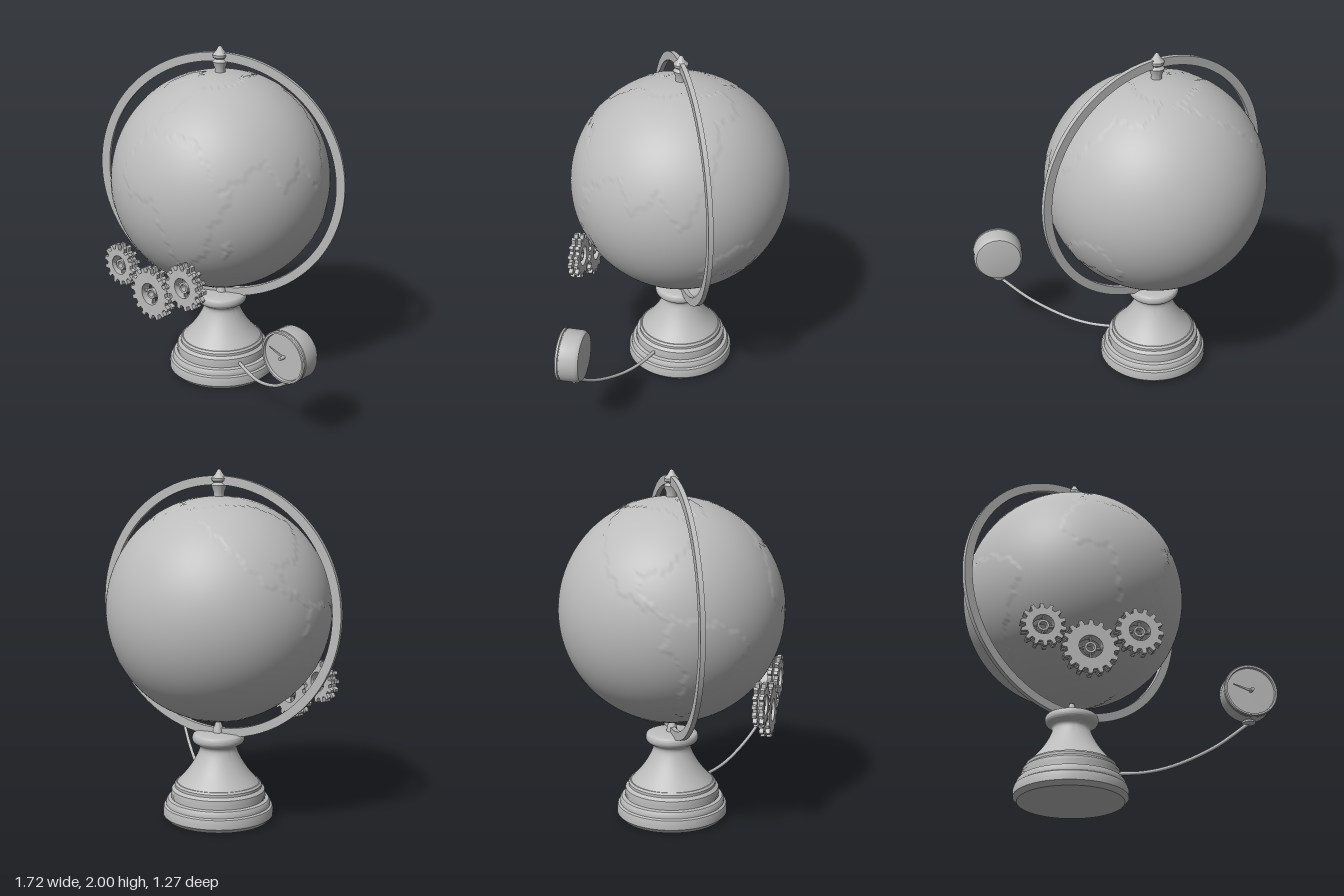
import * as THREE from 'three';
import { mergeVertices, toCreasedNormals } from 'three/addons/utils/BufferGeometryUtils.js';

const AXIS_X = -0.19, GLOBE_Y = 1.218, GLOBE_R = 0.633;

// Coarse land outlines as longitude, latitude pairs
const LANDS = [
  [-17, 15, -6, 36, 10, 37, 33, 31, 43, 12, 51, 12, 40, -4, 35, -24, 19, -35, 9, 4, -8, 4], // Africa
  [-9, 37, 8, 57, 15, 69, 70, 72, 104, 77, 180, 68, 157, 54, 135, 55, 122, 31, 109, 12, 103, 2,
    91, 22, 78, 8, 67, 25, 52, 17, 43, 13, 34, 30, 27, 38], // Europe and Asia
  [-168, 65, -128, 70, -82, 69, -56, 52, -81, 30, -97, 28, -90, 16, -78, 8, -105, 20, -124, 42, -150, 61], // North America
  [-77, 8, -51, 4, -35, -7, -48, -26, -67, -55, -74, -50, -70, -18, -81, -5], // South America
  [114, -23, 131, -12, 142, -12, 153, -27, 148, -38, 131, -31, 115, -34], // Australia
  [-65, 81, -20, 80, -44, 60, -55, 70], // Greenland
  [44, -17, 50, -14, 47, -25], // Madagascar
];

// Even-odd test with a small wobble that roughens the coasts
function isLand(lon, lat) {
  const x = lon + 1.2 * Math.sin(lat * 0.7) + 0.6 * Math.sin(lat * 1.7);
  const y = lat + 1.2 * Math.sin(lon * 0.6) + 0.6 * Math.sin(lon * 1.5);
  if (y < -71 + 4 * Math.sin(lon * Math.PI / 90)) return true;
  return LANDS.some((p) => {
    let inside = false;
    for (let i = 0, j = p.length - 2; i < p.length; j = i, i += 2) {
      if ((p[i + 1] > y) !== (p[j + 1] > y) &&
        x < (p[j] - p[i]) * (y - p[i + 1]) / (p[j + 1] - p[i + 1]) + p[i]) inside = !inside;
    }
    return inside;
  });
}

// Sphere whose land is raised slightly above the sea
function globeGeometry() {
  let g = new THREE.SphereGeometry(GLOBE_R, 320, 160);
  g.deleteAttribute('uv');
  g.deleteAttribute('normal');
  g = mergeVertices(g);
  const pos = g.attributes.position, v = new THREE.Vector3();
  for (let i = 0; i < pos.count; i++) {
    v.fromBufferAttribute(pos, i).normalize();
    const lat = THREE.MathUtils.radToDeg(Math.asin(THREE.MathUtils.clamp(v.y, -1, 1)));
    const lon = THREE.MathUtils.radToDeg(Math.atan2(v.x, v.z));
    v.multiplyScalar(GLOBE_R + (isLand(lon, lat) ? 0.003 : 0));
    pos.setXYZ(i, v.x, v.y, v.z);
  }
  g.computeVertexNormals();
  return g;
}

const lathe = (pts, segments = 64) =>
  toCreasedNormals(new THREE.LatheGeometry(pts.map(([x, y]) => new THREE.Vector2(x, y)), segments), 0.6);

// Toothed plate with a round hole
function gearPlate(radius, hole, teeth, depth) {
  const shape = new THREE.Shape(), step = (Math.PI * 2) / teeth, root = radius - 0.026;
  for (let i = 0; i < teeth; i++) {
    [[-0.3, root], [-0.17, radius], [0.17, radius], [0.3, root]].forEach(([f, r], k) => {
      const a = Math.PI / 2 + (i + f) * step;
      shape[i + k ? 'lineTo' : 'moveTo'](r * Math.cos(a), r * Math.sin(a));
    });
  }
  shape.closePath();
  shape.holes.push(new THREE.Path().absarc(0, 0, hole, 0, Math.PI * 2, true));
  return new THREE.ExtrudeGeometry(shape, { depth, bevelEnabled: false, curveSegments: 24 });
}

// Flat ring in the xy plane, centred on z = 0
function flatRing(outer, inner, depth, segments) {
  const s = new THREE.Shape().absarc(0, 0, outer, 0, Math.PI * 2, false);
  s.holes.push(new THREE.Path().absarc(0, 0, inner, 0, Math.PI * 2, true));
  const g = new THREE.ExtrudeGeometry(s, { depth, bevelEnabled: false, curveSegments: segments });
  return toCreasedNormals(g.translate(0, 0, -depth / 2), 0.6);
}

// Thin band whose lower edge steps in and out
function scallopGeometry() {
  const g = new THREE.CylinderGeometry(0.273, 0.273, 0.024, 120, 1, true), pos = g.attributes.position;
  for (let i = 0; i < pos.count; i++) {
    if (pos.getY(i) < 0) pos.setY(i, i % 4 < 2 ? -0.012 : 0);
  }
  return g;
}

export function createModel() {
  const model = new THREE.Group();
  const grey = new THREE.MeshStandardMaterial({ color: 0xbcbcbc });
  grey.name = 'plain grey';
  const add = (name, geometry, x = 0, y = 0, z = 0, parent = model) => {
    const m = new THREE.Mesh(geometry, grey);
    m.name = name;
    m.position.set(x, y, z);
    parent.add(m);
    return m;
  };
  const addGroup = (name, x, y) => {
    const g = new THREE.Group();
    g.name = name;
    g.position.set(x, y, 0);
    model.add(g);
    return g;
  };

  // Globe and the ring that carries it
  add('globe', globeGeometry(), AXIS_X, GLOBE_Y, 0);
  add('meridianRing', flatRing(0.74, 0.69, 0.027, 96), AXIS_X, 1.223, 0).rotation.y = 0.445;
  add('topFinial', lathe([[0, 1.845], [0.03, 1.845], [0.03, 1.87], [0.044, 1.91], [0.028, 1.925], [0.04, 1.935],
    [0.042, 1.95], [0.022, 1.972], [0.01, 1.994], [0, 2]], 32), AXIS_X);

  // Turned pedestal: moulded foot, flared neck, top knob
  add('pedestalFoot', lathe([[0, 0], [0.295, 0], [0.317, 0.025], [0.317, 0.06], [0.312, 0.078], [0.3, 0.085],
    [0.3, 0.105], [0.29, 0.12], [0.27, 0.125], [0.27, 0.156], [0.268, 0.175], [0.25, 0.19], [0.25, 0.205],
    [0.24, 0.216], [0, 0.216]], 80), AXIS_X);
  const neck = new THREE.SplineCurve([[0.234, 0.216], [0.175, 0.285], [0.128, 0.36], [0.108, 0.42], [0.142, 0.45], [0.15, 0.472],
    [0.143, 0.495], [0.12, 0.504]].map((p) => new THREE.Vector2(...p))).getPoints(32);
  add('pedestalNeck', lathe([...neck.map((p) => [p.x, p.y]), [0, 0.506]], 80), AXIS_X);
  add('pedestalKnob', lathe([[0.033, 0.5], [0.028, 0.53], [0.012, 0.575], [0, 0.578]], 24), AXIS_X);
  add('scallopedBand', scallopGeometry(), AXIS_X, 0.142, 0);

  // Three double gears, each with a spoked hub
  [[-0.445, 0.775, 0.122, 0.056, 14, 0.1], [-0.192, 0.67, 0.154, 0.064, 16, 0], [0.072, 0.785, 0.132, 0.058, 14, 0.2]]
    .forEach(([x, y, r, hole, teeth, turn]) => {
      const gear = addGroup('gear', x, y);
      for (const z of [0.522, 0.558]) {
        add('gearPlate', gearPlate(r, hole, teeth, 0.024), 0, 0, z, gear).rotation.z = turn;
      }
      add('gearSleeve', flatRing(hole + 0.012, hole, 0.014, 24), 0, 0, 0.552, gear);
      add('gearHub', flatRing(0.032, 0.02, 0.04, 16), 0, 0, 0.552, gear);
      for (let k = 0; k < 4; k++) {
        const a = (k * Math.PI) / 2, m = (hole + 0.022) / 2;
        const spoke = new THREE.BoxGeometry(hole - 0.018, 0.008, 0.02);
        add('gearSpoke', spoke, m * Math.cos(a), m * Math.sin(a), 0.552, gear).rotation.z = a;
      }
    });

  // Curved arm from the pedestal to the gauge
  const path = new THREE.CatmullRomCurve3([[0.03, 0.147, 0.095], [0.18, 0.142, 0.158], [0.325, 0.165, 0.225],
    [0.535, 0.253, 0.32], [0.71, 0.375, 0.4]].map((p) => new THREE.Vector3(...p)));
  add('gaugeArm', new THREE.TubeGeometry(path, 48, 0.01, 12));
  add('gaugeCollar', lathe([[0, 0.366], [0.02, 0.366], [0.037, 0.374], [0.037, 0.384], [0.022, 0.392], [0.022, 0.402],
    [0, 0.402]], 24), 0.71, 0, 0.4);

  // Round gauge with a recessed dial, pin and needle
  const gauge = addGroup('gauge', 0.711, 0.541);
  add('gaugeCase', lathe([[0, 0.336], [0.115, 0.336], [0.135, 0.34], [0.148, 0.36], [0.148, 0.448], [0.144, 0.45],
    [0.144, 0.453], [0.149, 0.455], [0.149, 0.466], [0.144, 0.471], [0.134, 0.471], [0.132, 0.456], [0, 0.456]]), 0, 0, 0, gauge)
    .rotation.x = Math.PI / 2;
  add('gaugePin', new THREE.CylinderGeometry(0.01, 0.01, 0.036, 16), 0, 0, 0.473, gauge).rotation.x = Math.PI / 2;
  const needle = new THREE.Shape([[0, -0.006], [0.103, -0.002], [0.103, 0.002], [0, 0.006]].map((p) => new THREE.Vector2(...p)));
  add('gaugeNeedle', new THREE.ExtrudeGeometry(needle, { depth: 0.005, bevelEnabled: false }), 0, 0, 0.46, gauge)
    .rotation.z = Math.PI - 0.32;

  return model;
}
